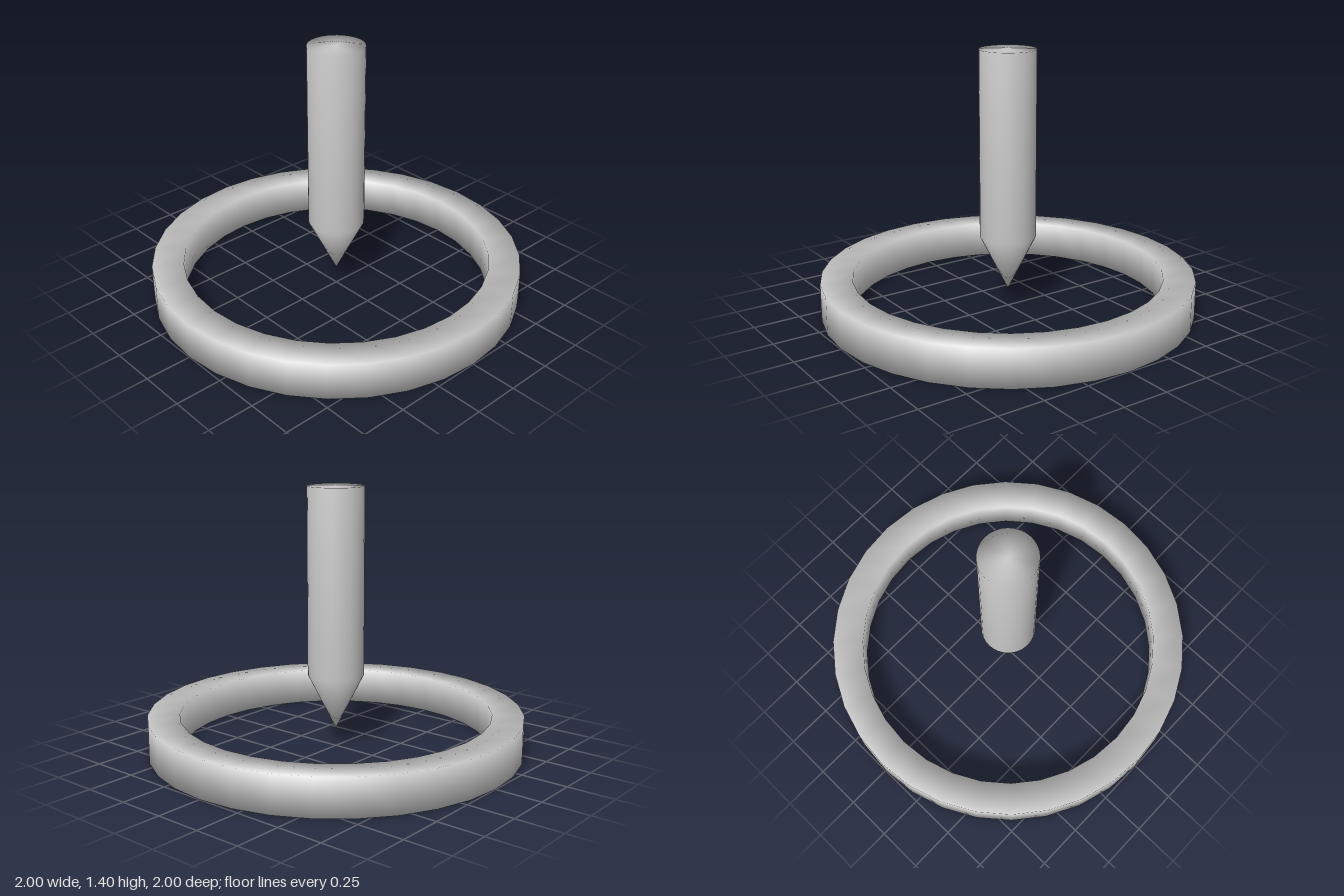
import * as THREE from 'three';
import { mergeVertices } from 'three/addons/utils/BufferGeometryUtils.js';

const SIDES = 32;

// Revolves a profile of [radius, height] points, with corners shaded softly.
function turned(name, profile) {
  const lathe = new THREE.LatheGeometry(profile.map(([r, y]) => new THREE.Vector2(r, y)), SIDES);
  lathe.deleteAttribute('uv');
  lathe.deleteAttribute('normal');
  const geometry = mergeVertices(lathe);
  geometry.computeVertexNormals();
  const mesh = new THREE.Mesh(geometry, new THREE.MeshStandardMaterial({ color: 0xcccccc }));
  mesh.name = name;
  return mesh;
}

export function createModel() {
  const group = new THREE.Group();
  group.name = 'ringAndPointer';

  // Flat-sided ring with a rectangular section
  group.add(turned('ring', [[0.83, 0], [1, 0], [1, 0.2], [0.83, 0.2], [0.83, 0]]));

  // Round pointer hanging over the centre, tip down
  group.add(turned('pointer', [[0, 0.1], [0.15, 0.4], [0.15, 1.4], [0, 1.4]]));

  return group;
}
